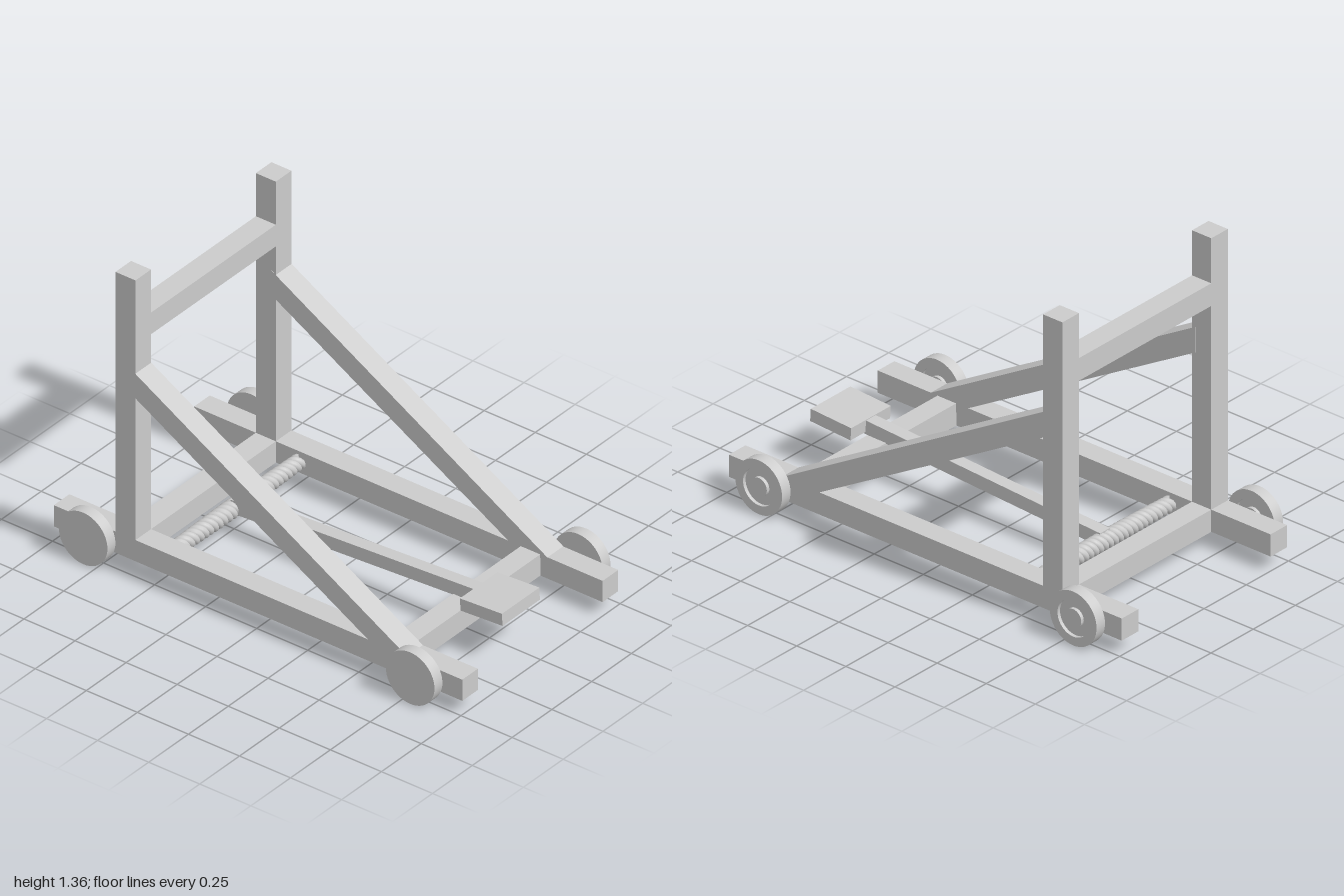
import * as THREE from 'three';
import { toCreasedNormals } from 'three/addons/utils/BufferGeometryUtils.js';

export function createModel() {
  const model = new THREE.Group();
  const material = new THREE.MeshStandardMaterial({ color: 0xcccccc });

  function add(name, geometry, x = 0, y = 0, z = 0, parent = model) {
    const mesh = new THREE.Mesh(geometry, material);
    mesh.name = name;
    mesh.position.set(x, y, z);
    parent.add(mesh);
    return mesh;
  }

  // Box given by its extents on each axis
  function beam(name, [x0, x1], [y0, y1], [z0, z1]) {
    return add(name, new THREE.BoxGeometry(x1 - x0, y1 - y0, z1 - z0),
      (x0 + x1) / 2, (y0 + y1) / 2, (z0 + z1) / 2);
  }

  const floorY = [0.065, 0.163];
  const rearZ = [-0.698, -0.6];

  // Diagonal brace outline, drawn as (-z, y)
  const braceShape = new THREE.Shape([
    [-0.73, 0.163], [-0.62, 0.11], [-0.54, 0.163], [0.62, 0.83], [0.62, 0.943],
  ].map(([a, b]) => new THREE.Vector2(a, b)));
  const braceWidth = 0.1;
  const braceGeometry = new THREE.ExtrudeGeometry(braceShape, { depth: braceWidth, bevelEnabled: false });
  braceGeometry.translate(0, 0, -braceWidth / 2);
  braceGeometry.rotateY(Math.PI / 2);

  // Side frames: rail, post and brace
  for (const [side, x] of [['right', -0.443], ['left', 0.439]]) {
    const width = [x - 0.049, x + 0.049];
    beam(side + 'Rail', width, floorY, [-1, 1]);
    beam(side + 'Post', width, [0.163, 1.362], rearZ);
    add(side + 'Brace', braceGeometry, x);
  }

  // Cross beams
  const span = [-0.394, 0.39];
  beam('frontCrossBeam', span, floorY, [0.6, 0.695]);
  beam('rearCrossBeam', span, floorY, rearZ);
  beam('topCrossBeam', span, [1.063, 1.163], rearZ);

  // Wheels, with a ring groove on the +x face
  const wheelProfile = [
    [0, 0], [0.119, 0], [0.119, 0.05], [0.08, 0.05],
    [0.08, 0.035], [0.041, 0.035], [0.041, 0.05], [0, 0.05],
  ].map(([r, h]) => new THREE.Vector2(r, h));
  const wheelGeometry = toCreasedNormals(new THREE.LatheGeometry(wheelProfile, 48), 0.6);
  wheelGeometry.rotateZ(-Math.PI / 2);
  for (const [side, x] of [['Right', -0.555], ['Left', 0.501]]) {
    add('front' + side + 'Wheel', wheelGeometry, x, 0.12, 0.794);
    add('rear' + side + 'Wheel', wheelGeometry, x, 0.12, -0.807);
  }

  // Throwing arm and its plate, tilted together about the rope
  const arm = new THREE.Group();
  arm.name = 'throwingArm';
  arm.position.set(-0.007, 0.16, -0.49);
  arm.rotation.x = -0.056;
  model.add(arm);
  add('armBar', new THREE.BoxGeometry(0.058, 0.06, 1.26), 0, -0.032, 0.63, arm);
  add('armPlate', new THREE.BoxGeometry(0.235, 0.055, 0.206), 0, -0.026, 1.297, arm);

  // Twisted rope: three strands, thicker in the middle
  const rope = new THREE.Group();
  rope.name = 'rope';
  rope.position.set(0, 0.115, -0.487);
  model.add(rope);
  const strands = 3, turns = 9;
  for (let s = 0; s < strands; s++) {
    const points = [];
    for (let i = 0; i <= turns * 12; i++) {
      const t = i / (turns * 12);
      const angle = 2 * Math.PI * (turns * t + s / strands);
      const radius = 0.017 + 0.006 * Math.sin(Math.PI * t);
      points.push(new THREE.Vector3(-0.396 + 0.788 * t, radius * Math.cos(angle), radius * Math.sin(angle)));
    }
    const curve = new THREE.CatmullRomCurve3(points);
    add('ropeStrand', new THREE.TubeGeometry(curve, turns * 20, 0.017, 10), 0, 0, 0, rope);
  }

  return model;
}
